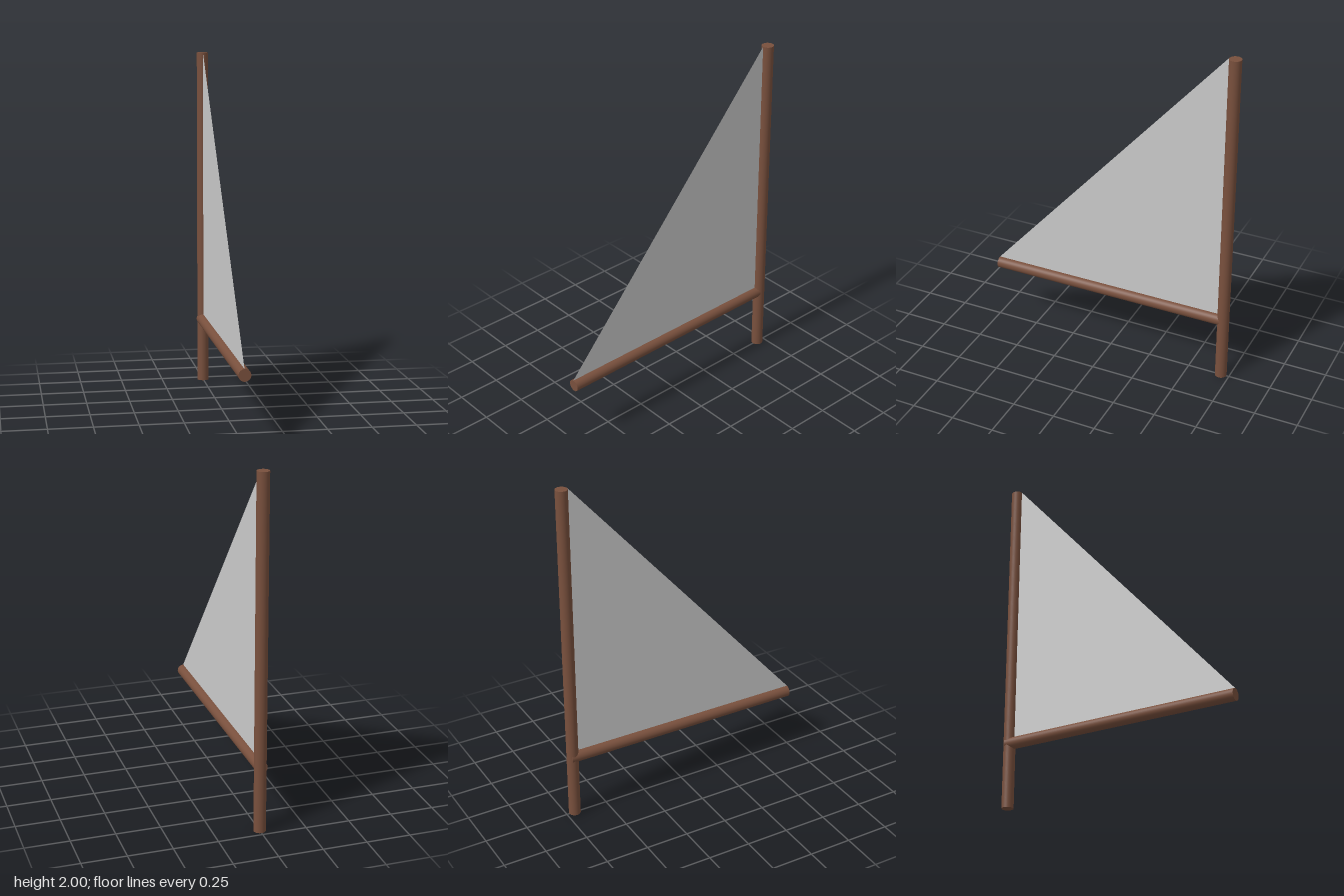
import * as THREE from 'three';

const RADIUS = 0.034;
const MAST_Z = -0.7;
const BOOM_Y = 0.379;
const BOOM_FRONT = 0.734;

export function createModel() {
  const model = new THREE.Group();
  const wood = new THREE.MeshStandardMaterial({ color: 0x79503d });
  const cloth = new THREE.MeshStandardMaterial({ color: 0xcccccc, side: THREE.DoubleSide });

  // Round pole between two points
  function pole(name, from, to) {
    const axis = to.clone().sub(from);
    const mesh = new THREE.Mesh(new THREE.CylinderGeometry(RADIUS, RADIUS, axis.length(), 32), wood);
    mesh.name = name;
    mesh.position.copy(from).add(to).multiplyScalar(0.5);
    mesh.quaternion.setFromUnitVectors(new THREE.Vector3(0, 1, 0), axis.normalize());
    model.add(mesh);
  }

  // Upright mast, and a boom running forward from it
  pole('mast', new THREE.Vector3(0, 0, MAST_Z), new THREE.Vector3(0, 2, MAST_Z));
  pole('boom', new THREE.Vector3(-0.003, BOOM_Y, -0.714), new THREE.Vector3(0, BOOM_Y, BOOM_FRONT));

  // Flat triangular sail, drawn in (z, y) and turned to face sideways
  const luff = MAST_Z + RADIUS;
  const foot = BOOM_Y + RADIUS;
  const outline = new THREE.Shape([
    new THREE.Vector2(-luff, foot),
    new THREE.Vector2(-luff, 2),
    new THREE.Vector2(-BOOM_FRONT, foot),
  ]);
  const sail = new THREE.Mesh(new THREE.ShapeGeometry(outline), cloth);
  sail.name = 'sail';
  sail.rotation.y = Math.PI / 2;
  sail.position.x = -0.002;
  model.add(sail);

  return model;
}
